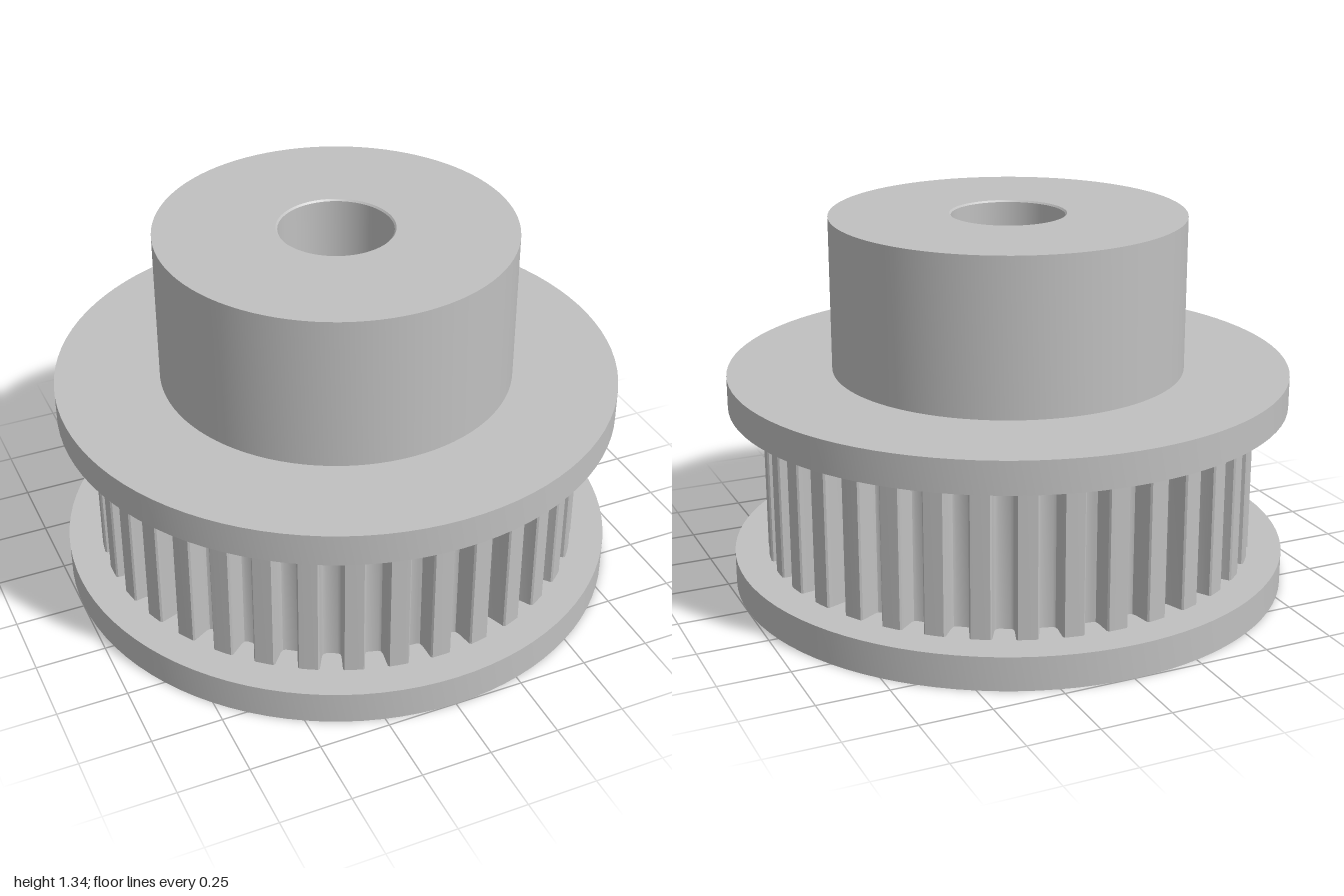
import * as THREE from 'three';
import { toCreasedNormals } from 'three/addons/utils/BufferGeometryUtils.js';

const TEETH = 36;
const TIP = 0.88, ROOT = 0.795;
const BORE = 0.2, HUB = 0.628;
const Y1 = 0.12, Y2 = 0.67, Y3 = 0.785, TOP = 1.335;

export function createModel() {
  const model = new THREE.Group();
  model.name = 'timingPulley';
  const metal = new THREE.MeshStandardMaterial({ color: 0xc0c0c0 });
  metal.name = 'grey metal';

  const add = (name, geometry) => {
    const mesh = new THREE.Mesh(toCreasedNormals(geometry, 0.55), metal);
    mesh.name = name;
    model.add(mesh);
  };
  const turned = (name, profile) =>
    add(name, new THREE.LatheGeometry(profile.map(([r, y]) => new THREE.Vector2(r, y)), 96));

  // Flanges, hub and the through bore, turned around the axis
  turned('lowerFlange', [[BORE + 0.006, 0], [1, 0], [1, Y1], [0.7, Y1]]);
  turned('upperFlange', [[0.7, Y2], [1, Y2], [1, Y3], [HUB, Y3]]);
  turned('hub', [[HUB, Y3], [HUB, TOP], [BORE + 0.006, TOP]]);
  turned('bore', [[BORE + 0.006, TOP], [BORE, TOP - 0.006], [BORE, 0.006], [BORE + 0.006, 0]]);

  // One tooth outline as [radius, degrees from its centre], with filleted roots
  const half = [[TIP, 0], [TIP, 2.1], [TIP - 0.006, 2.45], [ROOT + 0.018, 2.65],
    [ROOT + 0.005, 2.95], [ROOT, 3.6]];
  const tooth = [...half.slice(1).reverse().map(([r, a]) => [r, -a]), ...half];
  const outline = [];
  for (let i = 0; i < TEETH; i++) {
    for (const [r, deg] of tooth) {
      const a = THREE.MathUtils.degToRad(i * 360 / TEETH + deg);
      outline.push(new THREE.Vector2(r * Math.cos(a), r * Math.sin(a)));
    }
  }

  // Toothed ring between the flanges
  const shape = new THREE.Shape(outline);
  shape.holes.push(new THREE.Path().absarc(0, 0, 0.7, 0, Math.PI * 2, true));
  const ring = new THREE.ExtrudeGeometry(shape, { depth: Y2 - Y1, bevelEnabled: false, curveSegments: 48 });
  ring.rotateX(-Math.PI / 2).translate(0, Y1, 0);
  add('toothedRing', ring);

  return model;
}
